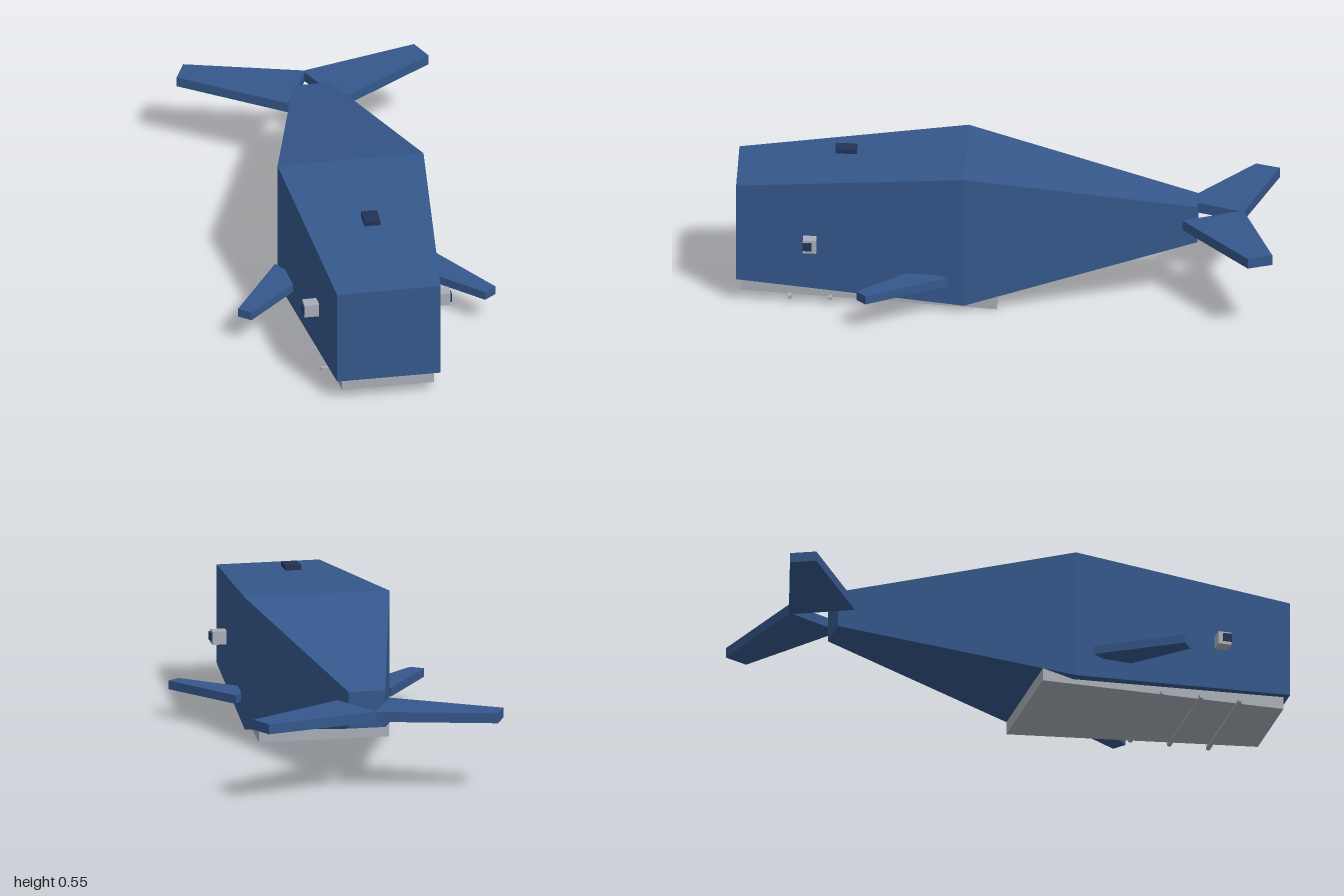
import * as THREE from 'three';

const mat = (name, color) => {
  const m = new THREE.MeshStandardMaterial({ color });
  m.name = name;
  return m;
};

// Box-sectioned hull through sections [z, halfWidth, bottom, top], listed back to front
function loft(sections) {
  const rings = sections.map(([z, w, b, t]) => [[-w, b, z], [w, b, z], [w, t, z], [-w, t, z]]);
  const pos = [];
  const quad = (a, b, c, d) => pos.push(...a, ...b, ...c, ...a, ...c, ...d);
  for (let i = 0; i < rings.length - 1; i++) {
    const r = rings[i], s = rings[i + 1];
    for (let j = 0; j < 4; j++) {
      const k = (j + 1) % 4;
      quad(r[j], r[k], s[k], s[j]);
    }
  }
  const first = rings[0], last = rings[rings.length - 1];
  quad(first[3], first[2], first[1], first[0]);
  quad(...last);
  const g = new THREE.BufferGeometry();
  g.setAttribute('position', new THREE.Float32BufferAttribute(pos, 3));
  g.computeVertexNormals();
  return g;
}

// Flat slab from an outline of [x, z] points, between two heights
function slab(points, side, bottom, top) {
  const shape = new THREE.Shape(points.map(([x, z]) => new THREE.Vector2(x * side, z)));
  const g = new THREE.ExtrudeGeometry(shape, { depth: top - bottom, bevelEnabled: false });
  return g.rotateX(Math.PI / 2).translate(0, top, 0);
}

export function createModel() {
  const group = new THREE.Group();
  group.name = 'whale';
  const blue = mat('whale blue', 0x35588c);
  const navy = mat('dark navy', 0x233256);
  const grey = mat('pale grey', 0xa9aeb7);

  const add = (name, geometry, material, x = 0, y = 0, z = 0) => {
    const mesh = new THREE.Mesh(geometry, material);
    mesh.name = name;
    mesh.position.set(x, y, z);
    group.add(mesh);
    return mesh;
  };

  // Body tapers both ways from its widest section
  add('body', loft([
    [-0.71, 0.07, 0.21, 0.35],
    [0.15, 0.275, 0.027, 0.53],
    [1, 0.195, 0.09, 0.465],
  ]), blue);

  // Belly plate with cross ribs
  add('belly', loft([
    [0.03, 0.247, 0.003, 0.055],
    [0.98, 0.173, 0.04, 0.095],
  ]), grey);
  [[0.8, 0.031], [0.65, 0.028], [0.5, 0.025]].forEach(([z, y], i) =>
    add(`bellyRib${i + 1}`, new THREE.BoxGeometry(0.444, 0.012, 0.014), grey, 0, y, z));

  add('blowhole', new THREE.BoxGeometry(0.06, 0.018, 0.08), navy, 0, 0.54, 0.597);

  // Paired parts
  const fin = [[0.215, 0.332], [0.295, 0.212], [0.485, 0.51], [0.44, 0.545]];
  const fluke = [[0, -0.865], [0, -0.88], [0.435, -1], [0.475, -0.91], [0.1, -0.655]];
  for (const [label, s] of [['left', 1], ['right', -1]]) {
    add(`${label}Fin`, slab(fin, s, 0.112, 0.145), blue);
    add(`${label}Fluke`, slab(fluke, s, 0.27, 0.308), blue);
    add(`${label}Eye`, new THREE.BoxGeometry(0.055, 0.05, 0.05), grey, s * 0.2475, 0.253, 0.725);
    add(`${label}Pupil`, new THREE.BoxGeometry(0.008, 0.03, 0.032), navy, s * 0.277, 0.255, 0.734);
  }
  return group;
}
